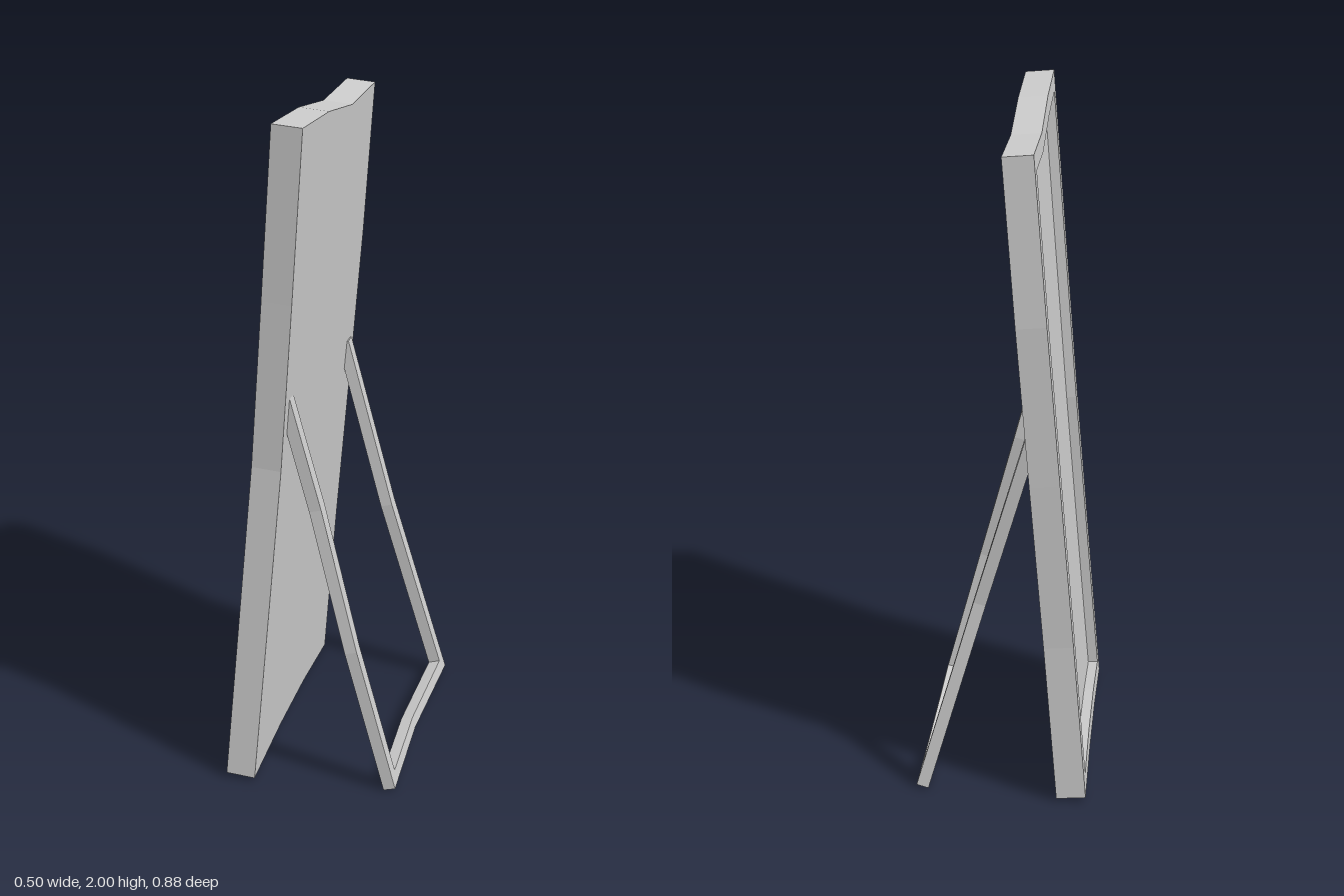
import * as THREE from 'three';

const material = new THREE.MeshStandardMaterial({ color: 0xcccccc, flatShading: true, side: THREE.DoubleSide });

// Outline given as [z, y] pairs, seen from +x
const toPoints = (pairs) => pairs.map(([z, y]) => new THREE.Vector2(-z, y));

// Extrude an outline along +x from startX, then lean it: x shifts by slope per unit of height
function leaningSlab(name, outline, hole, start, depth, baseX, slopeAt) {
  const shape = new THREE.Shape(toPoints(outline));
  if (hole) shape.holes.push(new THREE.Path(toPoints(hole)));
  const geometry = new THREE.ExtrudeGeometry(shape, { depth, bevelEnabled: false });
  geometry.translate(0, 0, start).rotateY(Math.PI / 2);
  const p = geometry.attributes.position;
  for (let i = 0; i < p.count; i++) {
    const x = p.getX(i), y = p.getY(i), slope = slopeAt(p.getZ(i));
    p.setXYZ(i, baseX + x + slope * y, y - slope * x, p.getZ(i));
  }
  geometry.computeVertexNormals();
  const mesh = new THREE.Mesh(geometry, material);
  mesh.name = name;
  return mesh;
}

export function createModel() {
  const group = new THREE.Group();
  group.name = 'standingMirror';

  // Wavy mirror panel: outer outline and the opening inside the rim
  const outer = [
    [0.44, 0.017], [0.15, 0.037], [-0.13, 0.037], [-0.41, 0.017],
    [-0.41, 0.5], [-0.43, 1.0], [-0.443, 1.46], [-0.427, 1.926],
    [-0.14, 1.926], [0.15, 1.975], [0.44, 2.0],
    [0.415, 1.5], [0.396, 1.0], [0.418, 0.5],
  ];
  const opening = [
    [0.386, 0.07], [0.15, 0.088], [-0.13, 0.088], [-0.357, 0.07],
    [-0.357, 0.5], [-0.376, 1.0], [-0.388, 1.46], [-0.375, 1.874],
    [-0.14, 1.874], [0.15, 1.922], [0.386, 1.944],
    [0.361, 1.5], [0.342, 1.0], [0.364, 0.5],
  ];
  const rimDepth = 0.03, panelDepth = 0.086, panelSlope = () => 0.0825;
  group.add(leaningSlab('mirrorRim', outer, opening, 0, rimDepth, -0.255, panelSlope));
  group.add(leaningSlab('mirrorPanel', outer, null, rimDepth, panelDepth - rimDepth, -0.255, panelSlope));

  // U-shaped support leaning against the back of the panel
  const support = [
    [0.40, 0.011], [0.08, 0.035], [-0.365, 0.011], [-0.345, 0.6], [-0.39, 1.12],
    [-0.345, 1.12], [-0.30, 0.6], [-0.32, 0.05], [0.08, 0.068], [0.36, 0.05],
    [0.36, 0.45], [0.315, 0.87], [0.315, 1.22],
    [0.36, 1.22], [0.36, 0.87], [0.40, 0.45],
  ];
  group.add(leaningSlab('supportLegs', support, null, -0.035, 0.035, 0.254, (z) => -(0.28 - 0.03 * z)));

  return group;
}
